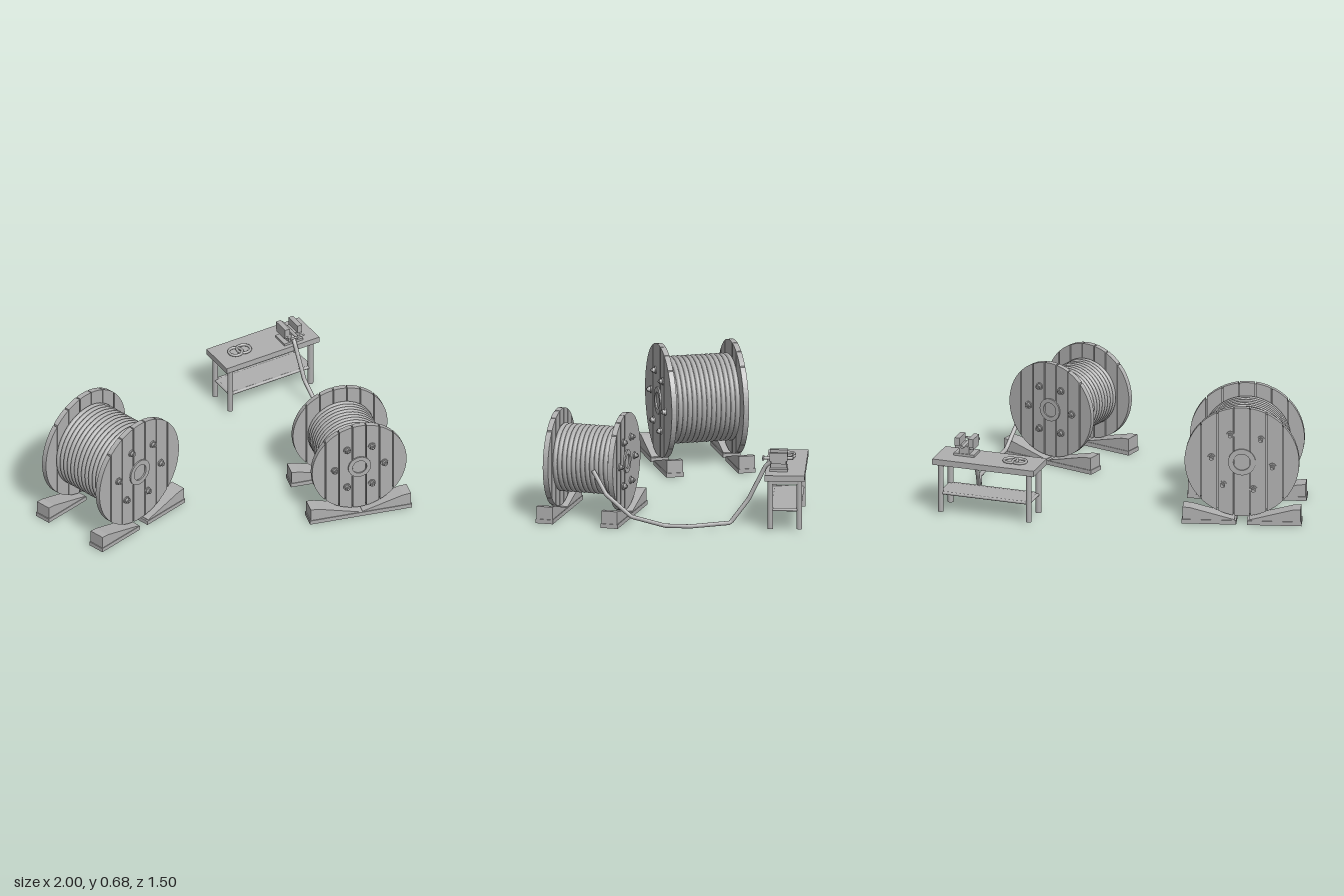
import * as THREE from 'three';

const grey = new THREE.MeshStandardMaterial({ color: 0xb0b0b0 });
grey.name = 'plain grey';

function add(parent, name, geometry, x = 0, y = 0, z = 0) {
  const mesh = new THREE.Mesh(geometry, grey);
  mesh.name = name;
  mesh.position.set(x, y, z);
  parent.add(mesh);
  return mesh;
}
const box = (w, h, d) => new THREE.BoxGeometry(w, h, d);
const rod = (r, len, sides = 16) => new THREE.CylinderGeometry(r, r, len, sides);
const disc = (r, len, sides = 48) => rod(r, len, sides).rotateX(Math.PI / 2);

// One vertical board cut from a round flange
function plankGeometry(r, x0, x1, depth) {
  const a = Math.asin(Math.max(-1, x0 / r)), b = Math.asin(Math.min(1, x1 / r));
  const pts = [], n = 10;
  for (let i = 0; i <= n; i++) {
    const t = a + (b - a) * i / n;
    pts.push(new THREE.Vector2(r * Math.sin(t), -r * Math.cos(t)));
  }
  for (let i = n; i >= 0; i--) {
    const t = b + (a - b) * (n - i) / n;
    pts.push(new THREE.Vector2(r * Math.sin(t), r * Math.cos(t)));
  }
  return new THREE.ExtrudeGeometry(new THREE.Shape(pts), { depth, bevelEnabled: false })
    .translate(0, 0, -depth / 2);
}

// Round boarded flange with hub ring and bolts on its +z face
function makeFlange(r, boltR, boltTurn) {
  const g = new THREE.Group(), planks = 7, t = 0.03, gap = 0.003;
  g.name = 'flange';
  const w = 2 * r / planks;
  for (let i = 0; i < planks; i++) {
    const x0 = -r + i * w, x1 = x0 + w;
    add(g, 'flangePlank', plankGeometry(r, i ? x0 + gap : x0, i < planks - 1 ? x1 - gap : x1, t));
  }
  add(g, 'flangeCore', disc(r - 0.008, 0.01));

  const ring = new THREE.Shape().absarc(0, 0, r * 0.24, 0, Math.PI * 2);
  ring.holes.push(new THREE.Path().absarc(0, 0, r * 0.15, 0, Math.PI * 2, true));
  add(g, 'hubRing', new THREE.ExtrudeGeometry(ring, { depth: 0.008, bevelEnabled: false, curveSegments: 24 }), 0, 0, t / 2);

  for (let i = 0; i < 6; i++) {
    const a = boltTurn + i * Math.PI / 3, x = boltR * Math.cos(a), y = boltR * Math.sin(a);
    add(g, 'washer', disc(0.021, 0.008, 20), x, y, t / 2 + 0.003);
    add(g, 'nut', disc(0.015, 0.018, 6), x, y, t / 2 + 0.012);
    add(g, 'boltEnd', disc(0.007, 0.02, 10), x, y, t / 2 + 0.018);
  }
  return g;
}

// Ramp block on a base board, tall end at +x
function makeChock(inner, outer) {
  const g = new THREE.Group(), len = outer - inner, mid = (inner + outer) / 2;
  g.name = 'chock';
  add(g, 'chockBase', box(len, 0.024, 0.1), mid, 0.012, 0);
  const s = new THREE.Shape();
  s.moveTo(inner + 0.01, 0.024);
  s.lineTo(outer - 0.005, 0.024);
  s.lineTo(outer - 0.005, 0.096);
  s.lineTo(outer - 0.05, 0.092);
  s.lineTo(inner + 0.01, 0.028);
  add(g, 'chockRamp', new THREE.ExtrudeGeometry(s, { depth: 0.092, bevelEnabled: false }), 0, 0, -0.046);
  return g;
}

// Scalloped barrel of wound cable, axis along z
function windingGeometry(r, length, turns) {
  const pts = [], p = length / turns, n = 6;
  for (let i = 0; i < turns; i++) {
    for (let j = i ? 1 : 0; j <= n; j++) {
      const a = Math.PI * j / n;
      pts.push(new THREE.Vector2(r - p / 2 + Math.sin(a) * p / 2,
        -length / 2 + p * (i + 0.5) - Math.cos(a) * p / 2));
    }
  }
  return new THREE.LatheGeometry(pts, 56).rotateX(Math.PI / 2);
}

function makeSpool(o) {
  const g = new THREE.Group();
  g.name = o.name;
  g.position.set(o.x, 0, o.z);
  g.rotation.y = o.turn;
  add(g, 'woundCable', windingGeometry(o.windR, o.spread - 0.03, o.turns), 0, o.y, 0);
  for (const s of [1, -1]) {
    const flange = makeFlange(o.r, o.boltR, o.boltTurn);
    flange.position.set(0, o.y, s * o.spread / 2);
    if (s < 0) flange.rotation.y = Math.PI;
    g.add(flange);
    for (const side of [0, Math.PI]) {
      const chock = makeChock(o.chockIn, o.chockOut);
      chock.position.z = s * o.spread / 2;
      chock.rotation.y = side;
      g.add(chock);
    }
  }
  return g;
}

function makeTable() {
  const g = new THREE.Group();
  g.name = 'workTable';
  g.position.set(0.7, 0, -0.637);
  add(g, 'tableTop', box(0.6, 0.034, 0.222), 0, 0.308, 0);
  add(g, 'lowerShelf', box(0.52, 0.014, 0.15), 0, 0.121, 0);
  for (const x of [-0.26, 0.26]) {
    for (const z of [-0.081, 0.081]) add(g, 'tableLeg', rod(0.016, 0.28), x, 0.152, z);
    add(g, 'sideRail', rod(0.009, 0.16).rotateX(Math.PI / 2), x, 0.121, 0);
    add(g, 'topRail', box(0.024, 0.024, 0.16), x, 0.28, 0);
  }
  for (const z of [-0.081, 0.081])
    add(g, 'longRail', rod(0.009, 0.52).rotateZ(Math.PI / 2), 0, 0.121, z);

  // Two loops of cable lying on the table
  for (const x of [-0.177, -0.125])
    add(g, 'cableLoop', new THREE.TorusGeometry(0.038, 0.008, 8, 32).rotateX(Math.PI / 2), x, 0.332, 0);

  // Clamping vise
  const v = new THREE.Group();
  v.name = 'vise';
  v.position.set(0.148, 0.325, 0.037);
  g.add(v);
  add(v, 'viseBase', box(0.12, 0.014, 0.1), 0, 0.007, 0);
  add(v, 'viseBody', box(0.06, 0.045, 0.09), 0, 0.035, 0);
  for (const x of [-0.04, 0.04]) add(v, 'viseJaw', box(0.03, 0.048, 0.1), x, 0.081, 0);
  add(v, 'viseBed', box(0.11, 0.02, 0.085), 0, 0.052, 0);
  add(v, 'viseScrew', rod(0.009, 0.17).rotateX(Math.PI / 2), 0, 0.063, 0.005);
  add(v, 'viseHandle', rod(0.006, 0.09, 10).rotateZ(Math.PI / 2), 0, 0.063, 0.087);
  return g;
}

export function createModel() {
  const model = new THREE.Group();
  model.name = 'cableSpoolsAndTable';

  model.add(makeSpool({ name: 'largeSpool', x: -0.613, z: -0.09, y: 0.36, r: 0.32, turn: 0.272,
    spread: 0.412, windR: 0.246, turns: 14, boltR: 0.172, boltTurn: -0.14, chockIn: 0.03, chockOut: 0.334 }));
  model.add(makeSpool({ name: 'smallSpool', x: 0.61, z: 0.452, y: 0.315, r: 0.274, turn: -0.25,
    spread: 0.376, windR: 0.192, turns: 13, boltR: 0.144, boltTurn: 0, chockIn: 0.0, chockOut: 0.296 }));
  model.add(makeTable());

  // Loose cable running from the small spool across the ground to the vise
  const path = new THREE.CurvePath();
  const pts = [[0.825, 0.3, 0.435], [0.89, 0.18, 0.36], [0.91, 0.06, 0.22], [0.95, 0.02, 0.03],
    [0.945, 0.016, -0.11], [0.87, 0.02, -0.33], [0.845, 0.15, -0.43], [0.84, 0.34, -0.525],
    [0.848, 0.38, -0.57]].map(p => new THREE.Vector3(...p));
  for (let i = 1; i < pts.length; i++) path.add(new THREE.LineCurve3(pts[i - 1], pts[i]));
  add(model, 'looseCable', new THREE.TubeGeometry(path, 70, 0.012, 10));
  return model;
}
